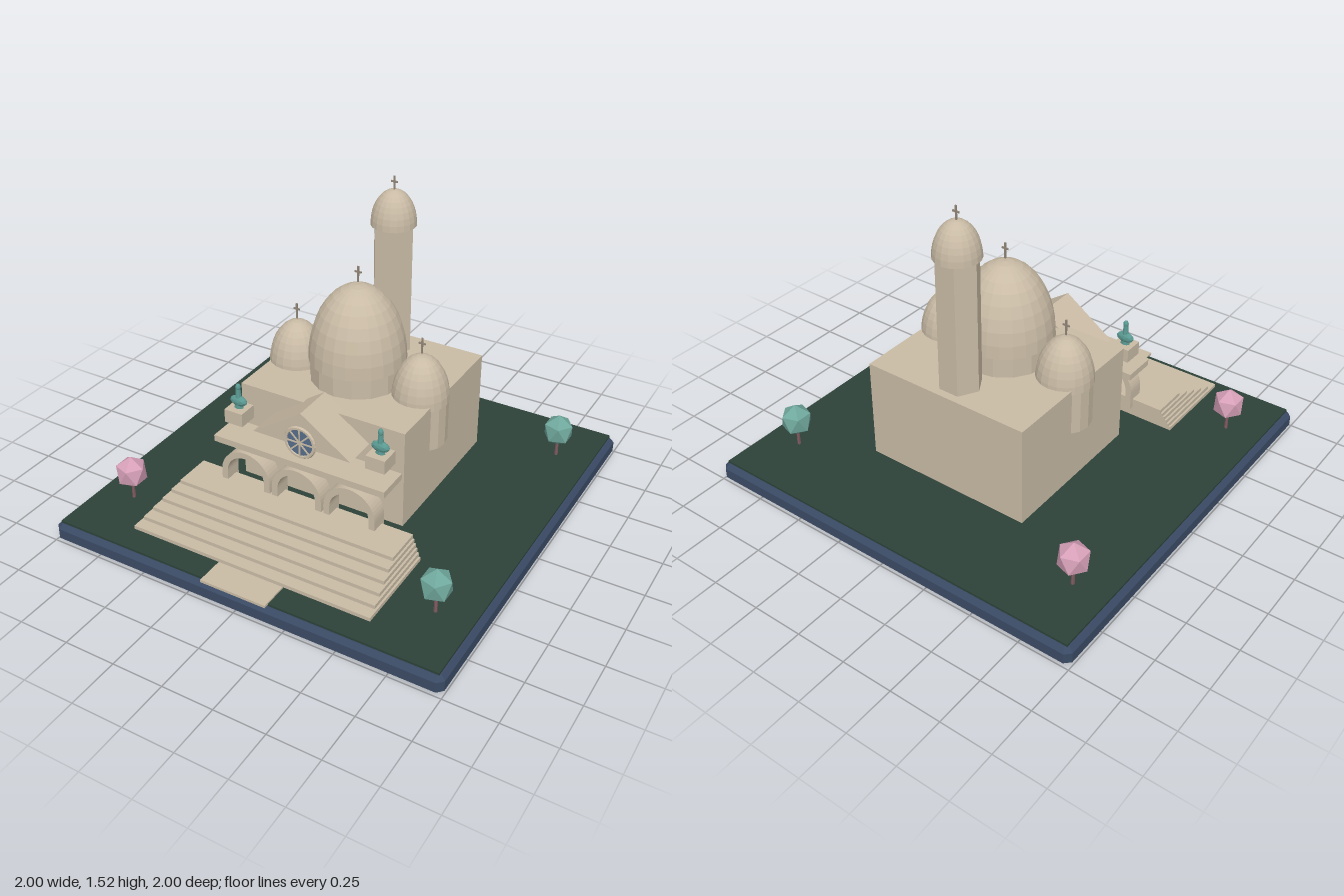
import * as THREE from 'three';

const mat = (name, color, extra = {}) =>
  Object.assign(new THREE.MeshStandardMaterial({ color, flatShading: true, ...extra }), { name });

export function createModel() {
  const model = new THREE.Group();
  model.name = 'domedBasilica';
  const stone = mat('stone', 0xc9bba5);
  const navy = mat('navyBase', 0x3a4a64);
  const lawnGreen = mat('lawnGreen', 0x2d4239);
  const teal = mat('tealLeaves', 0x70a89d);
  const pink = mat('pinkBlossom', 0xd6a0b8);
  const bronze = mat('greenBronze', 0x5a9a92);
  const bark = mat('bark', 0x7d5a60);
  const glass = mat('windowGlass', 0x566d8a);
  const iron = mat('crossMetal', 0x94887a);

  const add = (name, geo, material, x = 0, y = 0, z = 0, parent = model) => {
    const mesh = new THREE.Mesh(geo, material);
    mesh.name = name;
    mesh.position.set(x, y, z);
    parent.add(mesh);
    return mesh;
  };
  // Box given by its half width and its y and z ranges
  const block = (name, hw, y0, y1, z0, z1, material = stone, x = 0) =>
    add(name, new THREE.BoxGeometry(hw * 2, y1 - y0, z1 - z0), material, x, (y0 + y1) / 2, (z0 + z1) / 2);

  // Chamfered plinth and lawn
  const h = 0.98, c = 0.965;
  const outline = new THREE.Shape([[c, -h], [h, -c], [h, c], [c, h], [-c, h], [-h, c], [-h, -c], [-c, -h]]
    .map(([x, y]) => new THREE.Vector2(x, y)));
  const plinth = new THREE.ExtrudeGeometry(outline, {
    depth: 0.05, bevelEnabled: true, bevelSize: 0.02, bevelThickness: 0.022, bevelSegments: 1,
  });
  plinth.rotateX(-Math.PI / 2);
  add('plinth', plinth, navy, 0, 0.022, 0);
  block('lawn', 0.975, 0.09, 0.105, -0.975, 0.975, lawnGreen);
  block('path', 0.167, 0.1, 0.113, 0.28, 1.0);

  // Broad stairs, each tier smaller than the one below
  for (let i = 0; i < 6; i++) {
    const y = 0.14 + i * 0.0183;
    block('step', 0.612 - i * 0.01, y, y + 0.0183, 0.435 - i * 0.004, 0.887 - i * 0.0575);
  }

  // Main hall
  block('hall', 0.43, 0.14, 0.64, -0.535, 0.26);

  // Portico: three arches under a cornice slab
  const arch = new THREE.Shape();
  const ro = 0.131, ri = 0.1, spring = 0.295, foot = 0.2;
  arch.moveTo(ro, foot);
  arch.lineTo(ro, spring);
  arch.absarc(0, spring, ro, 0, Math.PI, false);
  arch.lineTo(-ro, foot);
  arch.lineTo(-ri, foot);
  arch.lineTo(-ri, spring);
  arch.absarc(0, spring, ri, Math.PI, 0, true);
  arch.lineTo(ri, foot);
  const archGeo = new THREE.ExtrudeGeometry(arch, { depth: 0.085, bevelEnabled: false, curveSegments: 12 });
  for (const x of [-0.274, 0, 0.274]) add('arch', archGeo, stone, x, 0, 0.395);
  block('cornice', 0.445, 0.436, 0.468, 0.31, 0.473);

  // Gable
  const gable = new THREE.Shape([new THREE.Vector2(-0.253, 0.53), new THREE.Vector2(0.253, 0.53), new THREE.Vector2(0, 0.703)]);
  add('gable', new THREE.ExtrudeGeometry(gable, { depth: 0.21, bevelEnabled: false }), stone, 0, 0, 0.22);

  // Rose window with eight spokes
  const rose = new THREE.Group();
  rose.name = 'roseWindow';
  rose.position.set(0, 0.555, 0.436);
  model.add(rose);
  add('roseFrame', new THREE.TorusGeometry(0.073, 0.01, 6, 24), stone, 0, 0, 0, rose);
  const disc = add('roseGlass', new THREE.CylinderGeometry(0.072, 0.072, 0.008, 24), glass, 0, 0, 0, rose);
  disc.rotation.x = Math.PI / 2;
  for (let i = 0; i < 4; i++) {
    add('spoke', new THREE.BoxGeometry(0.14, 0.007, 0.008), stone, 0, 0, 0.004, rose).rotation.z = i * Math.PI / 4;
  }

  // Pedestals with riders on horseback
  for (const s of [-1, 1]) {
    const x = s * 0.37;
    block('pedestal', 0.048, 0.52, 0.587, 0.323, 0.42, stone, x);
    const horse = new THREE.IcosahedronGeometry(1, 1).scale(0.046, 0.027, 0.02);
    add('horse', horse, bronze, x, 0.622, 0.371);
    add('horseLegs', new THREE.CylinderGeometry(0.02, 0.024, 0.03, 8).scale(1, 1, 0.7), bronze, x, 0.6, 0.371);
    add('rider', new THREE.CylinderGeometry(0.011, 0.015, 0.045, 8), bronze, x, 0.663, 0.371);
    add('riderHead', new THREE.IcosahedronGeometry(0.013, 1).scale(1, 1.4, 1), bronze, x, 0.695, 0.371);
  }

  // Stilted domes, each with a cross
  const cross = (x, y, z) => {
    add('crossPost', new THREE.BoxGeometry(0.008, 0.078, 0.006), iron, x, y + 0.036, z);
    add('crossBar', new THREE.BoxGeometry(0.034, 0.008, 0.006), iron, x, y + 0.047, z);
  };
  const dome = (name, x, z, r, y0, y1, segments) => {
    const profile = [new THREE.Vector2(0, 0)];
    for (let i = 0; i <= 9; i++) {
      const a = (i / 9) * Math.PI / 2;
      profile.push(new THREE.Vector2(i === 9 ? 0 : r * Math.cos(a), (y1 - y0) * Math.sin(a)));
    }
    add(name, new THREE.LatheGeometry(profile, segments), stone, x, y0, z);
  };
  const drum = (name, x, z, r, y0, y1, sides) =>
    add(name, new THREE.CylinderGeometry(r, r, y1 - y0, sides), stone, x, (y0 + y1) / 2, z);

  drum('mainDrum', 0, -0.077, 0.225, 0.5, 0.75, 16);
  dome('mainDome', 0, -0.077, 0.231, 0.74, 1.112, 24);
  cross(0, 1.13, -0.077);
  for (const s of [-1, 1]) {
    drum('sideDrum', s * 0.332, -0.077, 0.132, 0.405, 0.63, 16);
    dome('sideDome', s * 0.332, -0.077, 0.136, 0.62, 0.842, 20);
    cross(s * 0.332, 0.855, -0.077);
  }

  // Six-sided bell tower
  drum('bellTower', 0, -0.408, 0.102, 0.5, 1.29, 6).rotation.y = Math.PI / 6;
  dome('towerDome', 0, -0.408, 0.109, 1.285, 1.457, 20);
  cross(0, 1.447, -0.408);

  // Corner trees, blossom on the right and leaves on the left
  const crown = new THREE.IcosahedronGeometry(0.084, 0);
  crown.rotateZ(-Math.atan(2 / (1 + Math.sqrt(5))));
  crown.scale(0.93, 1, 0.93);
  for (const x of [-0.8, 0.8]) {
    for (const z of [-0.68, 0.66]) {
      add('treeTrunk', new THREE.CylinderGeometry(0.007, 0.009, 0.1, 6), bark, x, 0.145, z);
      add('treeCrown', crown, x < 0 ? pink : teal, x, 0.25, z);
    }
  }
  return model;
}
